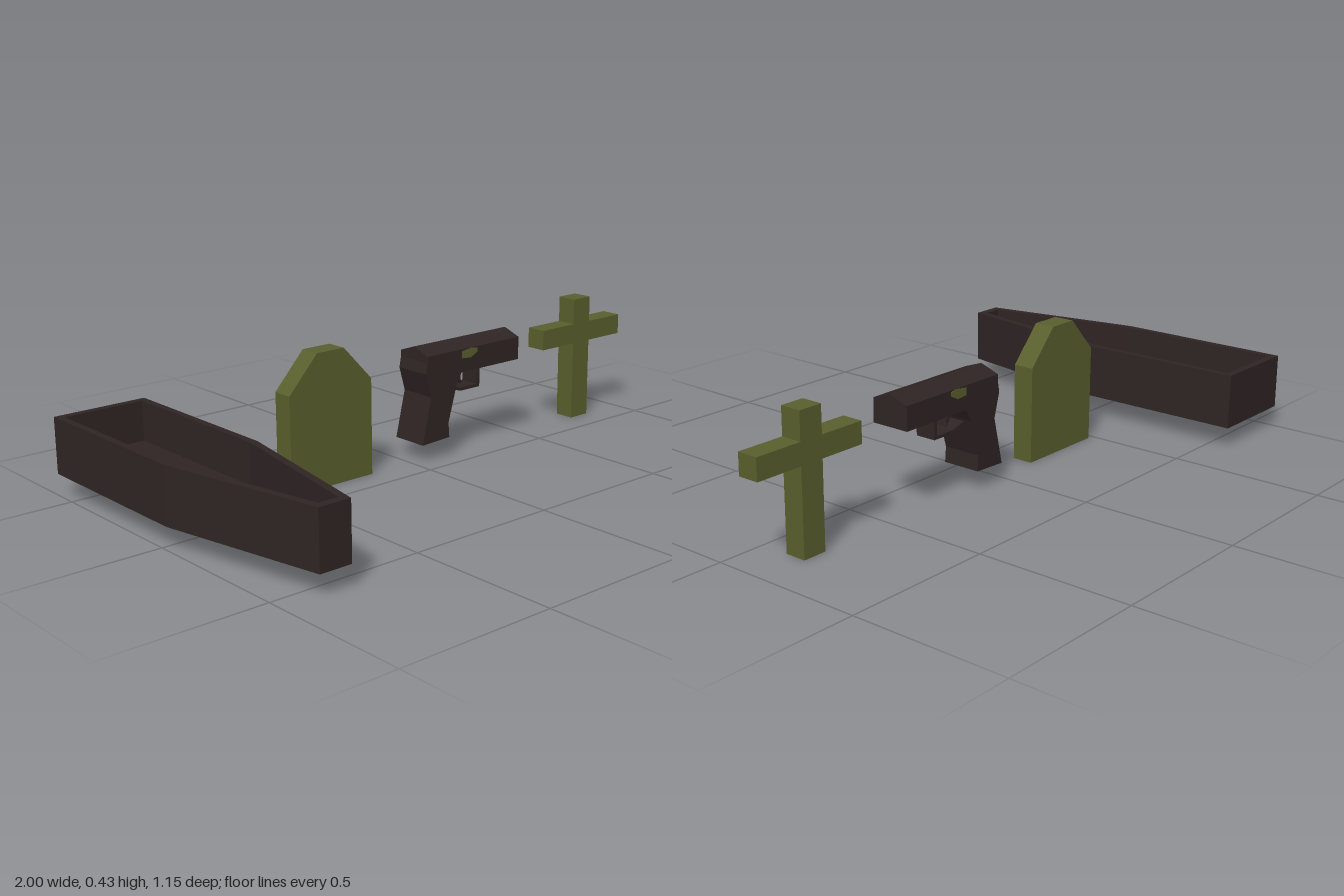
import * as THREE from 'three';

const olive = new THREE.MeshStandardMaterial({ color: 0x595f2d });
olive.name = 'olive';
const brown = new THREE.MeshStandardMaterial({ color: 0x2f2424 });
brown.name = 'dark brown';

const toShape = (pts) => new THREE.Shape(pts.map(([x, y]) => new THREE.Vector2(x, y)));
const extrude = (shape, depth) => new THREE.ExtrudeGeometry(shape, { depth, bevelEnabled: false });

function addMesh(parent, name, geometry, material) {
  const mesh = new THREE.Mesh(geometry, material);
  mesh.name = name;
  parent.add(mesh);
  return mesh;
}

// Upright slab with the outline in x/y, centred on z = 0
function slab(parent, name, pts, depth, material) {
  const geometry = extrude(toShape(pts), depth).translate(0, 0, -depth / 2);
  return addMesh(parent, name, geometry, material);
}

// Flat-lying slab with the outline in x/z, reaching down from topY
function layFlat(shape, topY, depth) {
  return extrude(shape, depth).rotateX(Math.PI / 2).translate(0, topY, 0);
}

function makeGroup(parent, name, z = 0) {
  const group = new THREE.Group();
  group.name = name;
  group.position.z = z;
  parent.add(group);
  return group;
}

function buildCoffin(parent) {
  const coffin = makeGroup(parent, 'coffin');
  const outer = [[-1, -0.575], [-0.688, -0.575], [-0.688, 0.03], [-0.79, 0.575], [-0.895, 0.575], [-1, 0.03]];
  const inner = [[-0.977, -0.55], [-0.711, -0.55], [-0.711, 0.025], [-0.81, 0.548], [-0.875, 0.548], [-0.977, 0.025]];
  const wall = toShape(outer);
  wall.holes.push(toShape(inner));
  addMesh(coffin, 'coffinWalls', layFlat(wall, 0.25, 0.18), brown);
  addMesh(coffin, 'coffinFloor', layFlat(toShape(inner), 0.12, 0.05), brown);
}

function buildTombstone(parent) {
  const stone = makeGroup(parent, 'tombstone', -0.13);
  slab(stone, 'headstone', [
    [-0.48, 0], [-0.163, 0], [-0.163, 0.315], [-0.27, 0.43], [-0.373, 0.43], [-0.48, 0.315],
  ], 0.07, olive);
}

function buildCross(parent) {
  const cross = makeGroup(parent, 'cross', -0.13);
  slab(cross, 'crossBody', [
    [0.763, 0], [0.843, 0], [0.843, 0.273], [1, 0.273], [1, 0.342], [0.843, 0.342],
    [0.843, 0.43], [0.763, 0.43], [0.763, 0.342], [0.61, 0.342], [0.61, 0.273], [0.763, 0.273],
  ], 0.07, olive);
}

function buildPistol(parent) {
  const pistol = makeGroup(parent, 'pistol', -0.13);
  const width = 0.13;

  // Slide with a shallow ridged top, swept along x
  const section = toShape([[-0.065, 0.275], [0.065, 0.275], [0.065, 0.352], [0, 0.375], [-0.065, 0.352]]);
  const slide = extrude(section, 0.41).rotateY(Math.PI / 2).translate(0.047, 0, 0);
  addMesh(pistol, 'slide', slide, brown);

  slab(pistol, 'grip', [
    [0.025, 0.06], [0.142, 0.065], [0.138, 0.115], [0.173, 0.235], [0.195, 0.275],
    [0.19, 0.3], [0.047, 0.33], [0.04, 0.295], [0.062, 0.215],
  ], width, brown);

  // Trigger and the loop guarding it
  slab(pistol, 'triggerGuard', [
    [0.165, 0.218], [0.22, 0.202], [0.305, 0.202], [0.305, 0.277],
    [0.293, 0.277], [0.293, 0.212], [0.222, 0.212], [0.168, 0.228],
  ], 0.07, brown);
  slab(pistol, 'trigger', [
    [0.205, 0.277], [0.222, 0.238], [0.236, 0.222], [0.232, 0.25], [0.234, 0.277],
  ], 0.04, brown);

  // Painted patch on both sides
  for (const side of [1, -1]) {
    const patch = slab(pistol, 'sidePatch', [
      [0.198, 0.322], [0.235, 0.319], [0.264, 0.333], [0.266, 0.347], [0.24, 0.351], [0.196, 0.345],
    ], 0.004, olive);
    patch.position.z = side * width / 2;
  }
}

export function createModel() {
  const model = new THREE.Group();
  model.name = 'graveyardSet';
  buildCoffin(model);
  buildTombstone(model);
  buildPistol(model);
  buildCross(model);
  return model;
}
